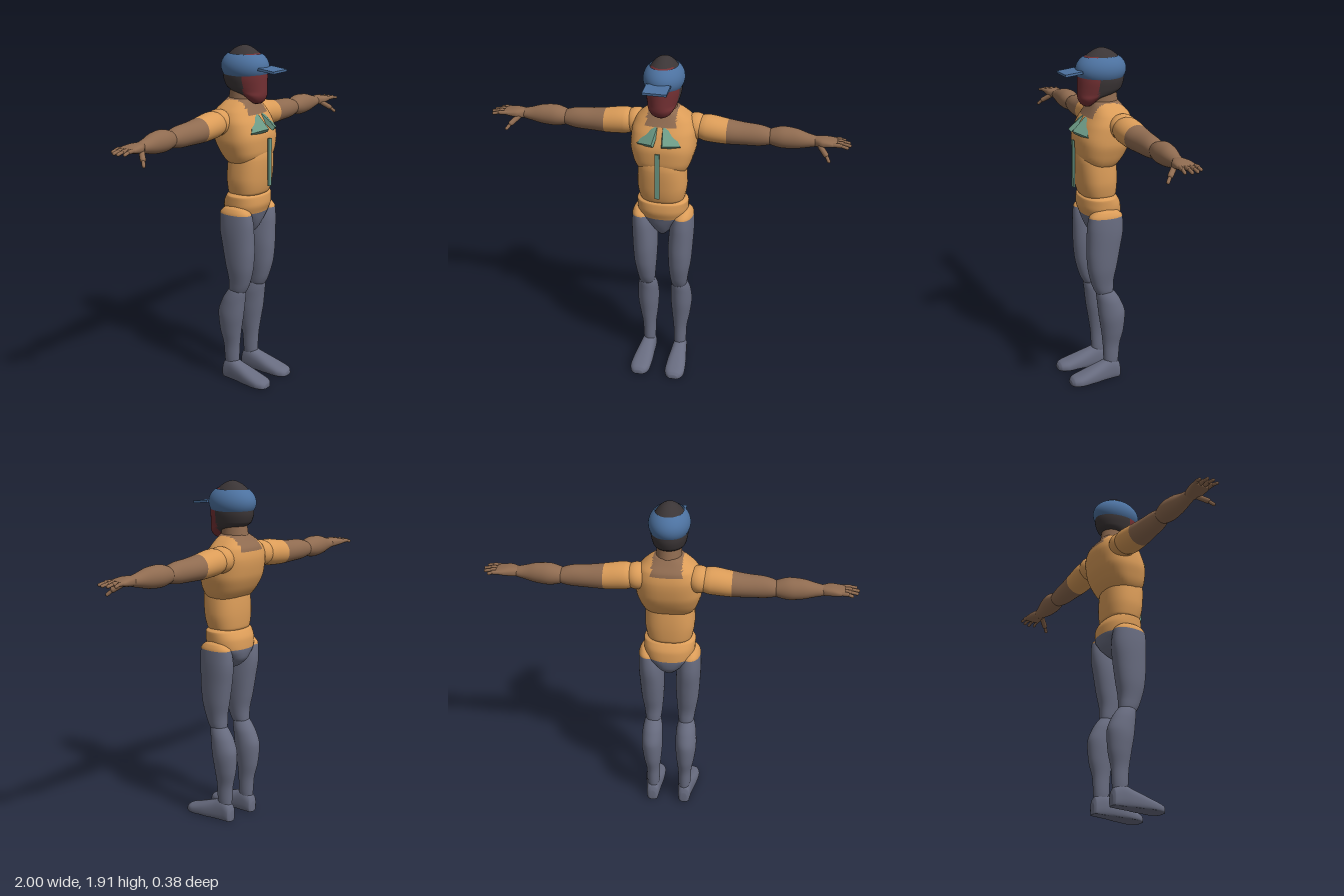
import * as THREE from 'three';

const mat = (name, color) => Object.assign(new THREE.MeshStandardMaterial({ color }), { name });

// Monotone cubic interpolation of one column of a section table
function column(rows, k, i, u) {
  const d = (n) => (n < 0 || n >= rows.length - 1) ? 0
    : (rows[n + 1][k] - rows[n][k]) / (rows[n + 1][0] - rows[n][0]);
  const slope = (n) => {
    if (n === 0) return d(0);
    if (n === rows.length - 1) return d(n - 1);
    const a = d(n - 1), b = d(n);
    return a * b > 0 ? (2 * a * b) / (a + b) : 0;
  };
  const h = rows[i + 1][0] - rows[i][0], u2 = u * u, u3 = u2 * u;
  return (2 * u3 - 3 * u2 + 1) * rows[i][k] + (u3 - 2 * u2 + u) * h * slope(i)
    + (3 * u2 - 2 * u3) * rows[i + 1][k] + (u3 - u2) * h * slope(i + 1);
}

// Smooth body through sections [t, lowA, highA, lowB, highB] along an axis.
// axis y: A = x, B = z; axis x: A = z, B = y; axis z: A = y, B = x.
// pick(centre) chooses the material index of each face.
function loft(axis, rows, { power = 2, steps = 5, seg = 40, pick = () => 0 } = {}) {
  const A = (axis + 2) % 3, B = (axis + 1) % 3, pos = [], rings = [];
  for (let i = 0; i < rows.length - 1; i++)
    for (let s = 0; s < steps; s++) rings.push([i, s / steps]);
  rings.push([rows.length - 2, 1]);
  const bend = (v) => Math.sign(v) * Math.abs(v) ** (2 / power);
  const put = (t, a, b) => {
    const p = [0, 0, 0];
    p[axis] = t; p[A] = a; p[B] = b;
    pos.push(p[0], Math.max(0, p[1]), p[2]);
  };
  const centres = [];
  for (const [i, u] of rings) {
    const t = rows[i][0] + (rows[i + 1][0] - rows[i][0]) * u;
    const [a0, a1, b0, b1] = [1, 2, 3, 4].map((k) => column(rows, k, i, u));
    centres.push([t, (a0 + a1) / 2, (b0 + b1) / 2]);
    for (let j = 0; j < seg; j++) {
      const q = (j / seg) * Math.PI * 2;
      put(t, (a0 + a1) / 2 + bend(Math.cos(q)) * (a1 - a0) / 2,
        (b0 + b1) / 2 + bend(Math.sin(q)) * (b1 - b0) / 2);
    }
  }
  const n = rings.length, start = n * seg, end = start + 1;
  put(...centres[0]);
  put(...centres[n - 1]);
  const buckets = [[], []];
  const face = (...f) => {
    const c = [0, 1, 2].map((k) => f.reduce((sum, v) => sum + pos[v * 3 + k], 0) / 3);
    buckets[pick(...c)].push(...f);
  };
  for (let j = 0; j < seg; j++) {
    const k = (j + 1) % seg;
    face(start, j, k);
    for (let i = 0; i < n - 1; i++) {
      const a = i * seg + j, b = a + seg, c = i * seg + k, d = c + seg;
      face(a, b, c);
      face(b, d, c);
    }
    face(end, (n - 1) * seg + k, (n - 1) * seg + j);
  }
  const g = new THREE.BufferGeometry();
  g.setAttribute('position', new THREE.Float32BufferAttribute(pos, 3));
  g.setIndex([...buckets[0], ...buckets[1]]);
  g.addGroup(0, buckets[0].length, 0);
  if (buckets[1].length) g.addGroup(buckets[0].length, buckets[1].length, 1);
  g.computeVertexNormals();
  return g;
}

function mirrored(geo) {
  const g = geo.clone().applyMatrix4(new THREE.Matrix4().makeScale(-1, 1, 1));
  const ix = g.index;
  for (let i = 0; i < ix.count; i += 3) {
    const t = ix.getX(i + 1);
    ix.setX(i + 1, ix.getX(i + 2));
    ix.setX(i + 2, t);
  }
  return g;
}

// Capsule between two points
function bone(a, b, r) {
  const p = new THREE.Vector3(...a), dir = new THREE.Vector3(...b).sub(p), len = dir.length();
  const q = new THREE.Quaternion().setFromUnitVectors(new THREE.Vector3(0, 1, 0), dir.clone().normalize());
  return new THREE.CapsuleGeometry(r, len, 4, 12).applyQuaternion(q)
    .translate(...p.addScaledVector(dir, 0.5).toArray());
}

export function createModel() {
  const model = new THREE.Group();
  model.name = 'figure';
  const skin = mat('skin', 0x8f6b50), shirt = mat('shirt', 0xdb9c58), trousers = mat('trousers', 0x686c80);
  const blue = mat('capBlue', 0x4c719f), hair = mat('hair', 0x3b3536), red = mat('faceRed', 0x733033);
  const green = mat('trimGreen', 0x6c9a86);
  blue.side = THREE.DoubleSide;

  const add = (name, geo, material) => {
    const m = new THREE.Mesh(geo, material);
    m.name = name;
    model.add(m);
    return m;
  };
  const pair = (name, geo, material) => {
    add('left' + name, geo, material);
    add('right' + name, mirrored(geo), material);
  };

  // Torso
  add('chest', loft(1, [
    [1.27, -0.10, 0.10, -0.08, 0.05], [1.29, -0.135, 0.135, -0.105, 0.085],
    [1.35, -0.162, 0.162, -0.15, 0.113], [1.42, -0.178, 0.178, -0.178, 0.116],
    [1.50, -0.176, 0.176, -0.188, 0.09], [1.56, -0.155, 0.155, -0.178, 0.055],
    [1.60, -0.115, 0.115, -0.148, 0.034], [1.63, -0.07, 0.07, -0.125, 0.02],
  ], { power: 2.6, pick: (x, y) => (y > 1.55 && Math.abs(x) < 0.08 ? 1 : 0) }), [shirt, skin]);
  add('abdomen', loft(1, [
    [1.09, -0.11, 0.11, -0.09, 0.07], [1.12, -0.125, 0.125, -0.108, 0.095],
    [1.20, -0.137, 0.137, -0.112, 0.11], [1.30, -0.132, 0.132, -0.106, 0.117],
    [1.36, -0.115, 0.115, -0.09, 0.107], [1.39, -0.07, 0.07, -0.05, 0.07],
  ], { power: 2.4 }), shirt);
  add('pelvis', loft(1, [
    [0.875, -0.018, 0.018, -0.035, 0.02], [0.90, -0.042, 0.042, -0.085, 0.045],
    [0.95, -0.085, 0.085, -0.128, 0.07], [1.00, -0.13, 0.13, -0.136, 0.085],
    [1.05, -0.142, 0.142, -0.133, 0.1], [1.095, -0.143, 0.143, -0.112, 0.096],
    [1.112, -0.12, 0.12, -0.095, 0.075],
  ], { power: 2.3, pick: (x, y) => (y < 1 ? 1 : 0) }), [shirt, trousers]);
  add('neck', loft(1, [
    [1.55, -0.072, 0.072, -0.14, 0.035], [1.63, -0.068, 0.068, -0.128, 0.028],
    [1.75, -0.062, 0.062, -0.11, 0.03],
  ]), skin);

  // Head with dark hair and red face
  add('head', loft(1, [
    [1.605, -0.025, 0.025, 0.03, 0.068], [1.62, -0.048, 0.048, 0.012, 0.085],
    [1.65, -0.07, 0.07, -0.03, 0.098], [1.675, -0.082, 0.082, -0.12, 0.1],
    [1.70, -0.09, 0.09, -0.15, 0.1], [1.75, -0.098, 0.098, -0.163, 0.1],
    [1.81, -0.097, 0.097, -0.16, 0.094], [1.86, -0.074, 0.074, -0.135, 0.066],
    [1.895, -0.045, 0.045, -0.095, 0.022], [1.912, -0.018, 0.018, -0.055, -0.015],
    [1.915, -0.002, 0.002, -0.038, -0.034],
  ], { pick: (x, y, z) => (z > 0.01 && y < 1.875 ? 1 : 0) }), [hair, red]);

  // Cap: open band with a flat brim
  const band = new THREE.SphereGeometry(1, 48, 24, 0, Math.PI * 2, 0.75, 1.52);
  band.scale(0.11, 0.096, 0.142).translate(0, 1.8, -0.033);
  add('capBand', band, blue);
  const brim = add('capBrim', new THREE.BoxGeometry(0.13, 0.013, 0.1), blue);
  brim.position.set(0, 1.793, 0.145);
  brim.rotation.x = 0.11;

  // Shirt trim: front strip and two tilted collar plates
  add('frontStrip', new THREE.BoxGeometry(0.026, 0.265, 0.01), green).position.set(0, 1.288, 0.13);
  const collar = new THREE.BoxGeometry(1, 1, 1), cp = collar.attributes.position;
  const top = [[0.016, 1.548, 0.066], [0.052, 1.55, 0.05]];
  const low = [[0.03, 1.478, 0.145], [0.12, 1.462, 0.095]];
  for (let i = 0; i < cp.count; i++) {
    const [x, y, z] = (cp.getY(i) > 0 ? top : low)[cp.getX(i) > 0 ? 1 : 0];
    const back = cp.getZ(i) < 0 ? 1 : 0;
    cp.setXYZ(i, x - back * 0.008, y - back * 0.018, z - back * 0.014);
  }
  collar.computeVertexNormals();
  pair('Collar', collar, green);

  // Arms: shoulder, sleeve, forearm
  pair('Shoulder', new THREE.SphereGeometry(1, 28, 20).scale(0.07, 0.072, 0.078)
    .translate(0.165, 1.51, -0.092), shirt);
  pair('UpperArm', loft(0, [
    [0.165, -0.13, -0.05, 1.47, 1.54], [0.185, -0.16, -0.022, 1.445, 1.567],
    [0.23, -0.168, -0.013, 1.432, 1.578], [0.34, -0.164, -0.02, 1.426, 1.562],
    [0.42, -0.157, -0.03, 1.428, 1.552], [0.50, -0.15, -0.038, 1.43, 1.547],
    [0.57, -0.143, -0.052, 1.443, 1.528], [0.59, -0.12, -0.07, 1.46, 1.51],
  ], { pick: (x) => (x > 0.34 ? 1 : 0) }), [shirt, skin]);
  pair('Forearm', loft(0, [
    [0.55, -0.125, -0.07, 1.46, 1.515], [0.575, -0.145, -0.05, 1.442, 1.533],
    [0.64, -0.155, -0.04, 1.431, 1.549], [0.70, -0.147, -0.043, 1.435, 1.545],
    [0.77, -0.13, -0.052, 1.45, 1.526], [0.82, -0.12, -0.06, 1.463, 1.513],
    [0.835, -0.105, -0.073, 1.475, 1.505],
  ]), skin);

  // Hands
  pair('Palm', loft(0, [
    [0.79, -0.105, -0.07, 1.475, 1.505], [0.81, -0.12, -0.058, 1.464, 1.515],
    [0.85, -0.132, -0.038, 1.467, 1.517], [0.90, -0.14, -0.037, 1.476, 1.51],
    [0.925, -0.135, -0.045, 1.482, 1.504],
  ], { power: 2.6 }), skin);
  [[-0.05, -0.04, 0.98], [-0.077, -0.073, 0.992], [-0.103, -0.105, 0.985], [-0.127, -0.136, 0.96]]
    .forEach(([z0, z1, tip], i) => {
      const mid = 0.91 + (tip - 0.91) * 0.5, zm = (z0 + z1) / 2;
      pair('FingerBase' + (i + 1), bone([0.905, 1.494, z0], [mid, 1.495, zm], 0.0115), skin);
      pair('FingerTip' + (i + 1), bone([mid, 1.495, zm], [tip, 1.488, z1], 0.0088), skin);
    });
  pair('ThumbBase', bone([0.84, 1.475, -0.055], [0.873, 1.447, -0.02], 0.015), skin);
  pair('ThumbTip', bone([0.873, 1.447, -0.02], [0.893, 1.422, 0.002], 0.0095), skin);

  // Legs: thigh, shin and foot
  pair('Thigh', loft(1, [
    [0.52, 0.07, 0.12, -0.05, 0.015], [0.545, 0.052, 0.138, -0.068, 0.036],
    [0.60, 0.045, 0.147, -0.068, 0.06], [0.70, 0.037, 0.163, -0.085, 0.083],
    [0.80, 0.034, 0.17, -0.102, 0.09], [0.92, 0.042, 0.175, -0.118, 0.09],
    [1.00, 0.06, 0.172, -0.112, 0.082], [1.03, 0.085, 0.16, -0.085, 0.055],
    [1.045, 0.11, 0.14, -0.04, 0.015],
  ], { power: 2.2, pick: (x, y) => (y < 1 ? 1 : 0) }), [shirt, trousers]);
  pair('Shin', loft(1, [
    [0.06, 0.065, 0.12, -0.1, -0.02], [0.12, 0.057, 0.129, -0.106, -0.016],
    [0.20, 0.055, 0.132, -0.112, -0.012], [0.30, 0.045, 0.149, -0.134, 0],
    [0.40, 0.038, 0.16, -0.141, 0.016], [0.48, 0.04, 0.155, -0.115, 0.025],
    [0.54, 0.052, 0.142, -0.077, 0.032], [0.57, 0.07, 0.125, -0.05, 0.02],
  ]), trousers);
  pair('Foot', loft(2, [
    [-0.116, -0.005, 0.06, 0.075, 0.112], [-0.105, -0.02, 0.095, 0.061, 0.128],
    [-0.06, -0.02, 0.125, 0.054, 0.135], [0.0, -0.02, 0.105, 0.05, 0.145],
    [0.08, -0.02, 0.076, 0.045, 0.158], [0.14, -0.02, 0.055, 0.046, 0.162],
    [0.18, -0.015, 0.042, 0.06, 0.15], [0.196, -0.005, 0.025, 0.08, 0.13],
  ], { power: 2.4 }), trousers);

  return model;
}
